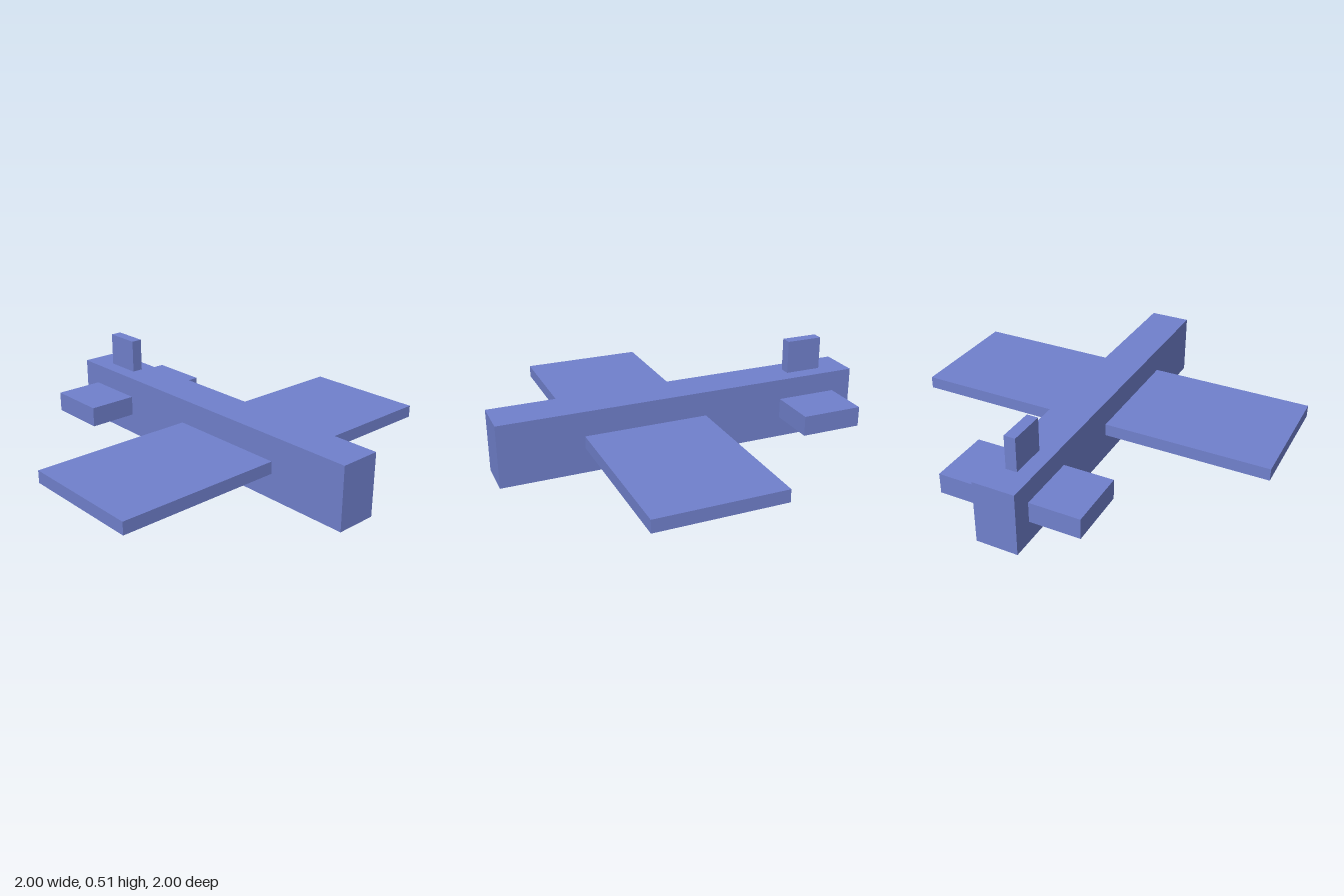
import * as THREE from 'three';

export function createModel() {
  const model = new THREE.Group();
  model.name = 'airplane';
  const material = new THREE.MeshStandardMaterial({ color: 0x7080cc });

  // Adds a box by its size and centre
  function addBox(name, size, centre) {
    const mesh = new THREE.Mesh(new THREE.BoxGeometry(...size), material);
    mesh.name = name;
    mesh.position.set(...centre);
    model.add(mesh);
  }

  const bodyWidth = 0.222, bodyHeight = 0.334, midY = bodyHeight / 2 + 0.001;

  addBox('fuselage', [bodyWidth, bodyHeight, 2], [0, bodyHeight / 2, 0]);

  // Wings and tailplanes, mirrored and butted against the fuselage sides
  for (const [side, sign] of [['left', 1], ['right', -1]]) {
    const addPanel = (name, tipX, height, length, z) => {
      const span = tipX - bodyWidth / 2;
      addBox(side + name, [span, height, length], [sign * (tipX - span / 2), midY, z]);
    };
    addPanel('Wing', 1, 0.066, 0.667, 0.222);
    addPanel('Tailplane', 0.378, 0.108, 0.333, -0.724);
  }

  // Upright fin on top of the tail
  const finHeight = 0.18;
  addBox('tailFin', [0.06, finHeight, 0.2], [0, bodyHeight + finHeight / 2, -0.744]);

  return model;
}
